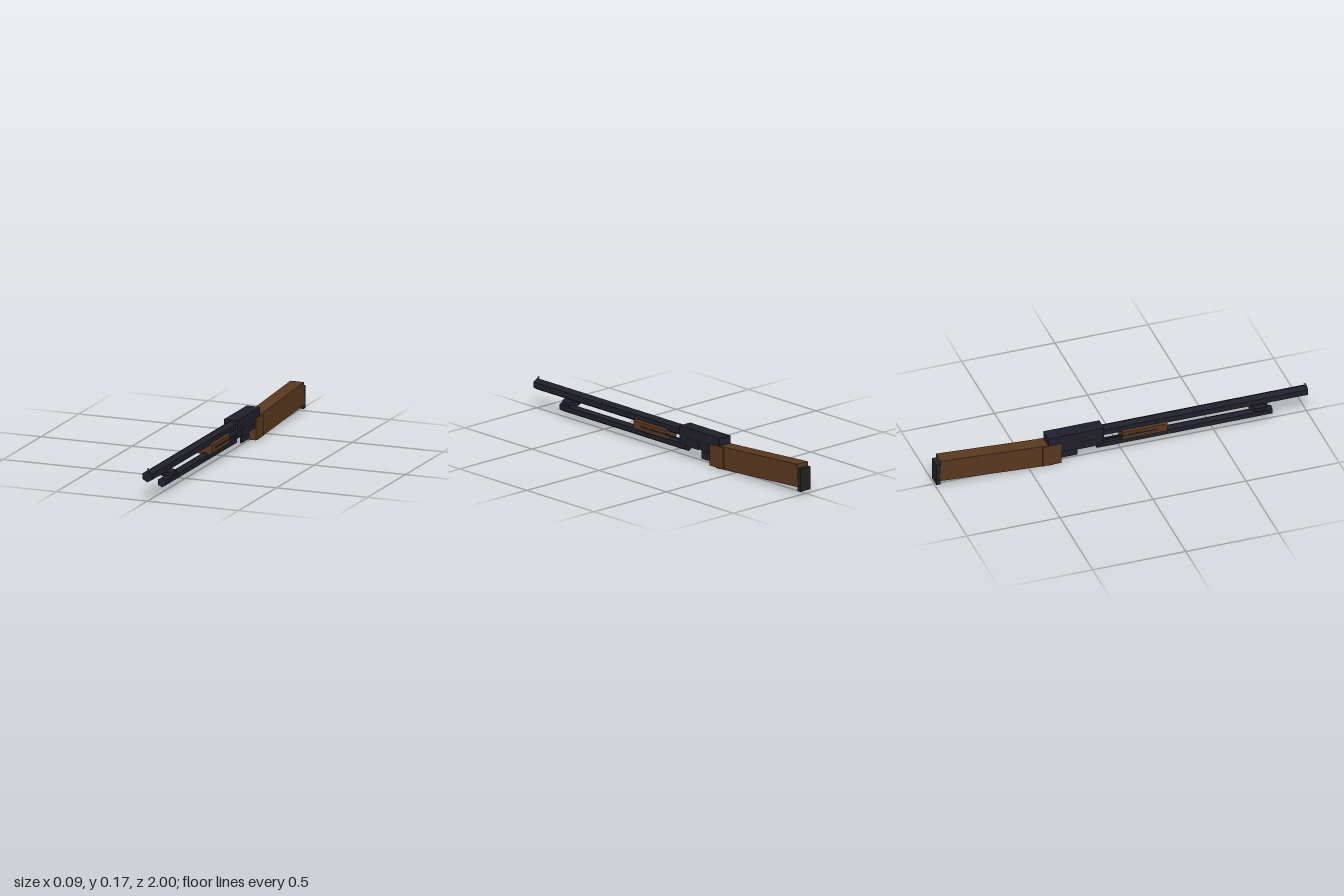
import * as THREE from 'three';

export function createModel() {
  const group = new THREE.Group();
  const mat = (color) => new THREE.MeshStandardMaterial({ color, flatShading: true });
  const metal = mat(0x20202c), wood = mat(0x5a381f), rubber = mat(0x222222), silver = mat(0xaaaaaa);

  function add(name, geometry, material, x, y, z) {
    const mesh = new THREE.Mesh(geometry, material);
    mesh.name = name;
    mesh.position.set(x, y, z);
    group.add(mesh);
    return mesh;
  }
  const box = (name, material, w, h, d, x, y, z) =>
    add(name, new THREE.BoxGeometry(w, h, d), material, x, y, z);
  // Six-sided tube lying along z, one corner up
  const hexTube = (name, material, radius, y, zBack, zFront) =>
    add(name, new THREE.CylinderGeometry(radius, radius, zFront - zBack, 6).rotateX(Math.PI / 2),
      material, 0, y, (zBack + zFront) / 2);

  // Barrel, magazine and sliding grip
  hexTube('barrel', metal, 0.03, 0.13, -0.11, 1);
  hexTube('magazineTube', metal, 0.025, 0.054, -0.13, 0.81);
  hexTube('foreGrip', wood, 0.043, 0.094, 0, 0.24);

  // Clamp between barrel and magazine, and the sight bead
  add('barrelClamp', new THREE.CylinderGeometry(0.05, 0.05, 0.019, 6), metal, 0, 0.093, 0.74);
  add('sightBead', new THREE.SphereGeometry(0.006, 8, 6), silver, 0, 0.166, 0.99);

  // Receiver with side plates and action bars
  box('receiver', metal, 0.074, 0.095, 0.3, 0, 0.118, -0.25);
  for (const [side, s] of [['left', 1], ['right', -1]]) {
    box(side + 'ActionBar', metal, 0.005, 0.008, 0.3, s * 0.036, 0.094, 0.04);
    box(side + 'ReceiverPlate', metal, 0.004, 0.042, 0.09, s * 0.037, 0.089, -0.2);
  }
  box('triggerGuard', metal, 0.008, 0.06, 0.1, 0, 0.042, -0.28);

  // Stock, rising slightly to the butt
  box('wrist', wood, 0.084, 0.115, 0.1, 0, 0.065, -0.38);
  box('stock', wood, 0.074, 0.12, 0.61, 0, 0.08, -0.675).rotation.x = 0.06;
  box('buttPad', rubber, 0.07, 0.12, 0.022, 0, 0.077, -0.989);

  return group;
}
